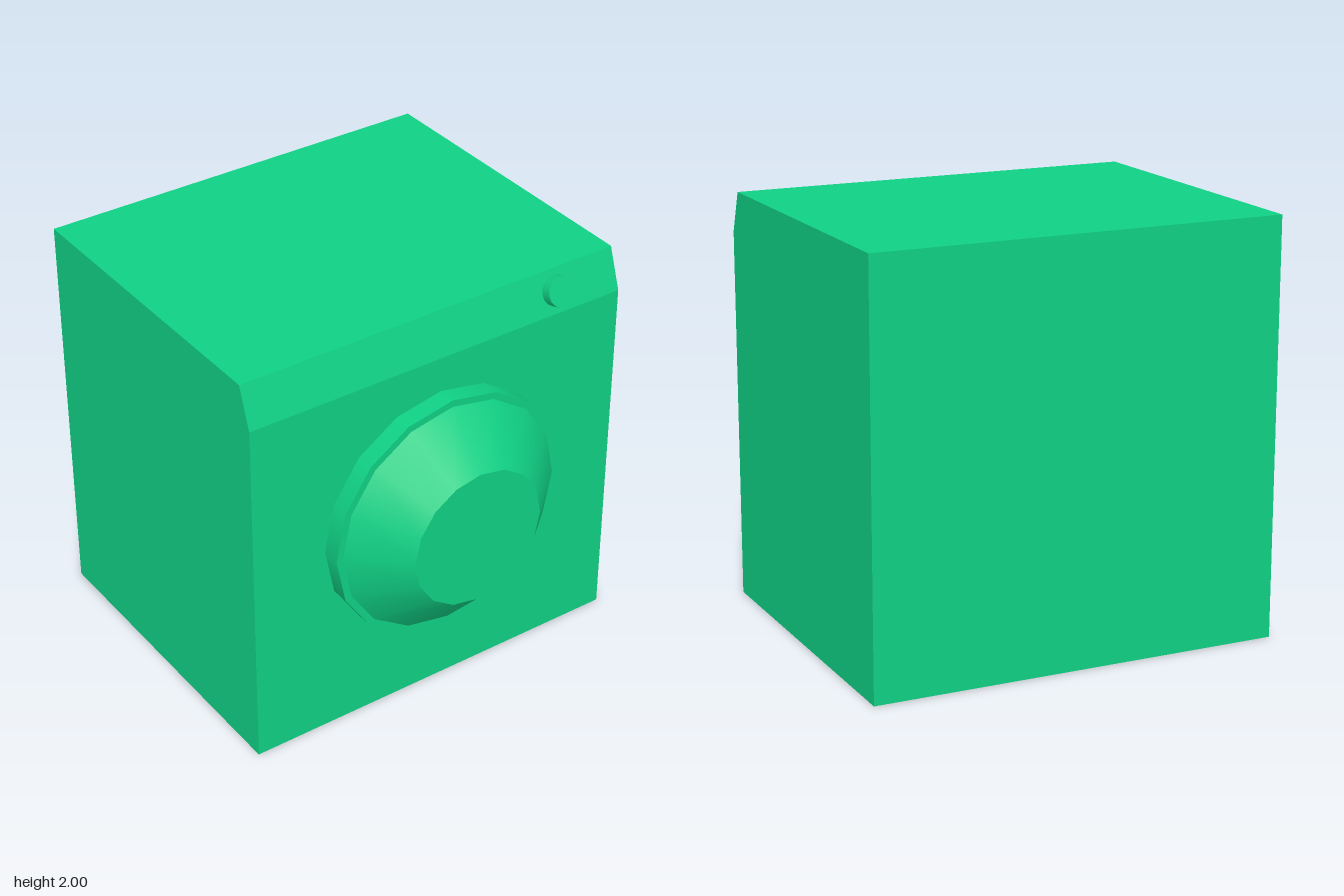
import * as THREE from 'three';

const material = new THREE.MeshStandardMaterial({ color: 0x10d084, side: THREE.DoubleSide });
const DOOR_Y = 1.005;

// Cabinet: side profile swept across the width, with the underside left open
function cabinetGeometry() {
  const profile = [[-0.975, 0], [0.67, 0], [0.67, 1.8], [0.6, 2], [-0.975, 2]];
  const shape = new THREE.Shape(profile.map(([z, y]) => new THREE.Vector2(z, y)));
  const solid = new THREE.ExtrudeGeometry(shape, { depth: 2, bevelEnabled: false });
  solid.rotateY(-Math.PI / 2).translate(1, 0, 0);
  const p = solid.attributes.position;
  const kept = [];
  for (let i = 0; i < p.count; i += 3) {
    const onFloor = [i, i + 1, i + 2].every((k) => p.getY(k) < 1e-4);
    if (!onFloor) kept.push(i, i + 1, i + 2);
  }
  solid.clearGroups();
  solid.setIndex(kept);
  return solid;
}

// Round part along z, from zBack to zFront
function roundPart(name, rFront, rBack, zBack, zFront) {
  const geometry = new THREE.CylinderGeometry(rFront, rBack, zFront - zBack, 16);
  geometry.rotateX(Math.PI / 2);
  const mesh = new THREE.Mesh(geometry, material);
  mesh.name = name;
  mesh.position.set(0, DOOR_Y, (zFront + zBack) / 2);
  return mesh;
}

export function createModel() {
  const model = new THREE.Group();
  model.name = 'washingMachine';

  const cabinet = new THREE.Mesh(cabinetGeometry(), material);
  cabinet.name = 'cabinet';

  // Knob, standing square on the sloped control panel
  const knob = new THREE.Mesh(new THREE.CylinderGeometry(0.072, 0.072, 0.08, 16), material);
  knob.name = 'knob';
  knob.rotation.x = Math.atan2(0.2, 0.07);
  knob.position.set(0.655, 1.905, 0.645);

  model.add(
    cabinet,
    roundPart('doorRing', 0.623, 0.623, 0.62, 0.76),
    roundPart('doorGlass', 0.348, 0.594, 0.755, 0.975),
    roundPart('drum', 0.594, 0.594, -0.8, 0.755),
    knob,
  );
  return model;
}
